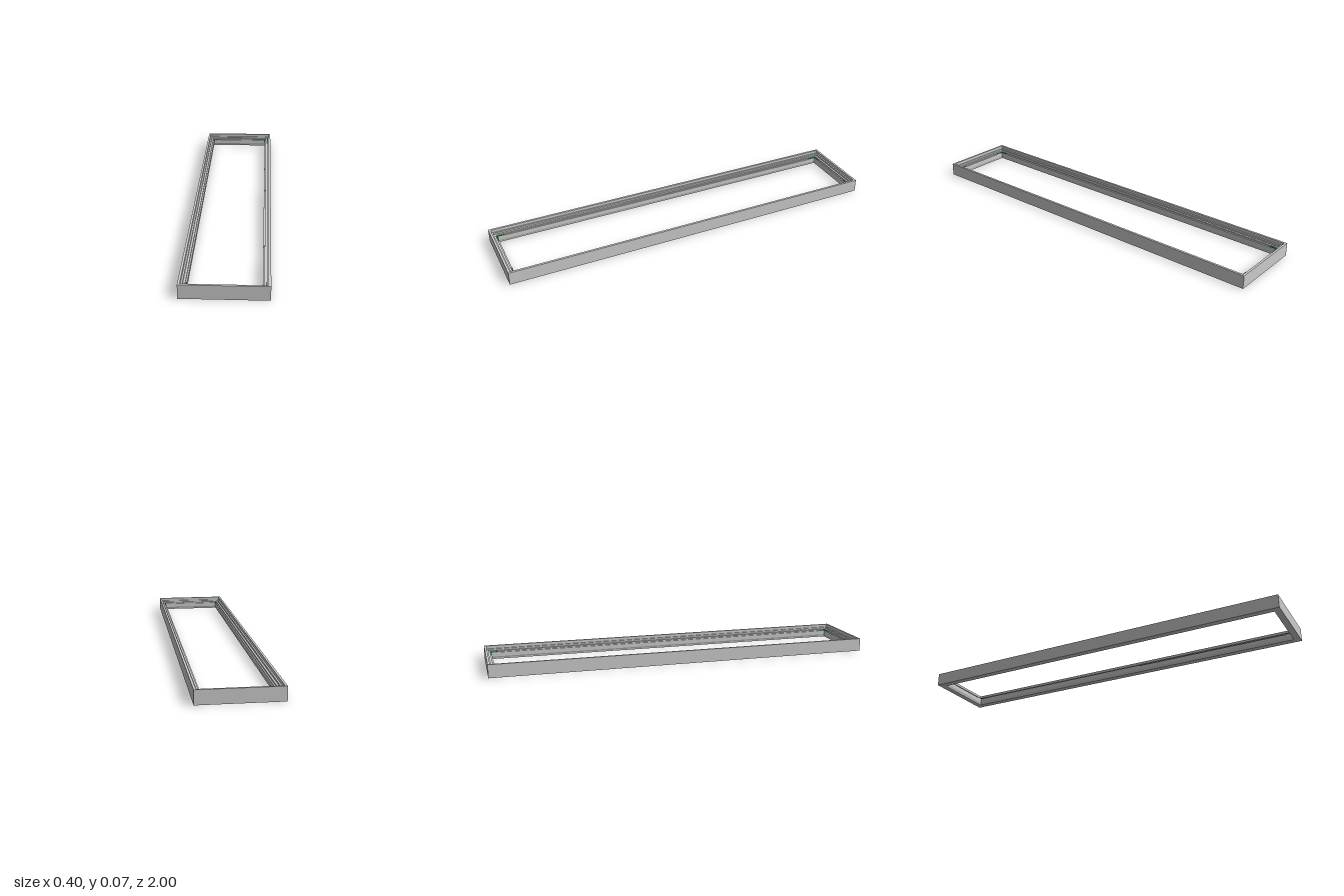
import * as THREE from 'three';

const HALF_X = 0.2, HALF_Z = 1, HEIGHT = 0.068;

// Rail cross-section as [inset from the outer face, height]: stepped rebate inside
const PROFILE = [
  [0, 0], [0.033, 0], [0.033, 0.006], [0.036, 0.014], [0.036, 0.036],
  [0.029, 0.036], [0.029, 0.043], [0.019, 0.043], [0.019, 0.052],
  [0.011, 0.052], [0.011, HEIGHT], [0, HEIGHT],
];

const CORNERS = [[1, 1], [1, -1], [-1, -1], [-1, 1]];

// One mitred rail: the cross-section stretched between two neighbouring corners
function railGeometry(from, to) {
  const at = ([sx, sz], [inset, y]) => [sx * (HALF_X - inset), y, sz * (HALF_Z - inset)];
  const positions = [];
  PROFILE.forEach((p, i) => {
    const q = PROFILE[(i + 1) % PROFILE.length];
    const a = at(from, p), b = at(from, q), c = at(to, q), d = at(to, p);
    positions.push(...a, ...b, ...c, ...a, ...c, ...d);
  });
  const geometry = new THREE.BufferGeometry();
  geometry.setAttribute('position', new THREE.Float32BufferAttribute(positions, 3));
  geometry.computeVertexNormals();
  return geometry;
}

export function createModel() {
  const model = new THREE.Group();
  model.name = 'rectangularFrame';
  const grey = new THREE.MeshStandardMaterial({ color: 0xcccccc });
  const green = new THREE.MeshStandardMaterial({ color: 0x1f9a2e });

  // Four mitred rails
  const names = ['leftRail', 'backRail', 'rightRail', 'frontRail'];
  CORNERS.forEach((corner, i) => {
    const rail = new THREE.Mesh(railGeometry(corner, CORNERS[(i + 1) % 4]), grey);
    rail.name = names[i];
    model.add(rail);
  });

  // Small L-shaped corner clips lying on the inner ledge
  const inset = 0.034, length = 0.04, thickness = 0.003, rise = 0.005;
  for (const [sx, sz] of CORNERS) {
    const clip = new THREE.Group();
    clip.name = 'cornerClip';
    const along = new THREE.Mesh(new THREE.BoxGeometry(thickness, rise, length), green);
    along.position.z = -sz * length / 2;
    along.name = 'clipLongArm';
    const across = new THREE.Mesh(new THREE.BoxGeometry(length, rise, thickness), green);
    across.position.x = -sx * length / 2;
    across.name = 'clipShortArm';
    clip.add(along, across);
    clip.position.set(sx * (HALF_X - inset), 0.036 + rise / 2, sz * (HALF_Z - inset));
    model.add(clip);
  }
  return model;
}
